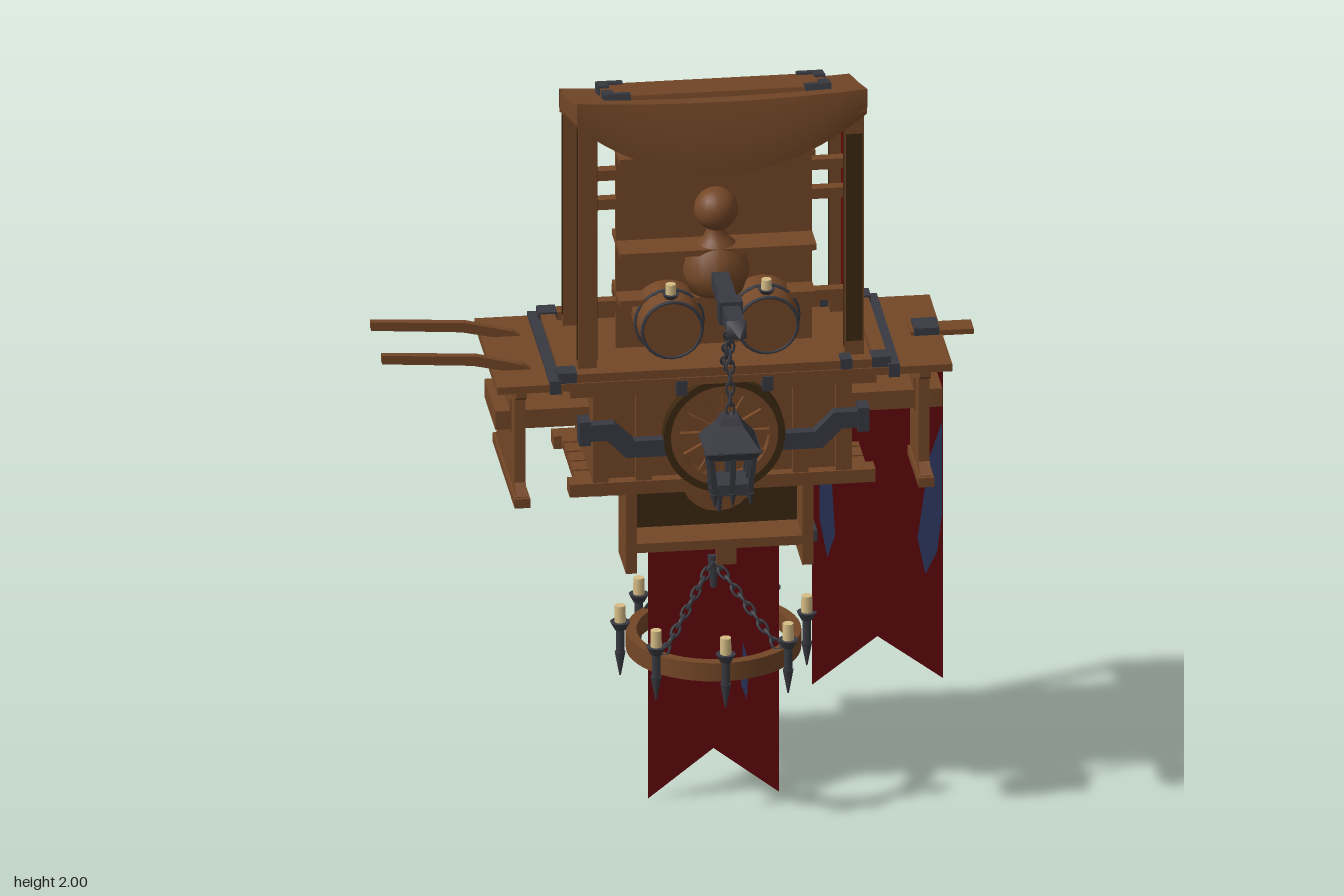
import * as THREE from 'three';
import { toCreasedNormals } from 'three/addons/utils/BufferGeometryUtils.js';

const mat = (name, color) => {
  const m = new THREE.MeshStandardMaterial({ color, side: THREE.DoubleSide });
  m.name = name;
  return m;
};

export function createModel() {
  const wood = mat('wood', 0x744727), dark = mat('darkWood', 0x3d2810), iron = mat('iron', 0x393a41);
  const red = mat('redCloth', 0x63060a), blue = mat('blueCloth', 0x2f3c66), wax = mat('wax', 0xd6bd85);
  const root = new THREE.Group();
  root.name = 'marketCart';
  const cart = new THREE.Group();
  cart.name = 'cart';
  cart.position.set(0.1, 0, -0.12); // the cart is symmetric about this axis
  root.add(cart);

  const add = (name, geo, m, x = 0, y = 0, z = 0, parent = cart) => {
    const o = new THREE.Mesh(geo, m);
    o.name = name;
    o.position.set(x, y, z);
    parent.add(o);
    return o;
  };
  // box from low and high corners
  const box = (name, m, x0, x1, y0, y1, z0, z1, parent = cart) =>
    add(name, new THREE.BoxGeometry(x1 - x0, y1 - y0, z1 - z0), m, (x0 + x1) / 2, (y0 + y1) / 2, (z0 + z1) / 2, parent);
  const cyl = (name, m, r0, r1, h, x, y, z, sides = 12, parent = cart) =>
    add(name, new THREE.CylinderGeometry(r0, r1, h, sides), m, x, y, z, parent);
  const shapeOf = pts => new THREE.Shape(pts.map(p => new THREE.Vector2(...p)));
  const extrude = (pts, depth) =>
    new THREE.ExtrudeGeometry(shapeOf(pts), { depth, bevelEnabled: false }).translate(0, 0, -depth / 2);
  const chain = (a, b) => {
    const from = new THREE.Vector3(...a), to = new THREE.Vector3(...b);
    const dir = to.clone().sub(from), n = Math.round(dir.length() / 0.028);
    const turn = new THREE.Quaternion().setFromUnitVectors(new THREE.Vector3(0, 1, 0), dir.clone().normalize());
    for (let i = 0; i < n; i++) {
      const g = new THREE.TorusGeometry(0.012, 0.004, 5, 10).scale(0.85, 1.5, 1).rotateY(i % 2 ? Math.PI / 2 : 0);
      const link = add('chainLink', g, iron);
      link.position.copy(from).addScaledVector(dir, (i + 0.5) / n);
      link.quaternion.copy(turn);
    }
  };

  // table top, bands and iron corners
  box('tableTop', wood, -0.58, 0.58, 1.232, 1.252, -0.222, 0.222);
  for (const s of [-1, 1]) {
    box('ironBand', iron, s * 0.432 - 0.014, s * 0.432 + 0.014, 1.226, 1.262, -0.226, 0.226);
    box('tableRail', wood, -0.42, 0.42, 1.25, 1.275, s * 0.2 - 0.018, s * 0.2 + 0.018);
    box('tableRailEnd', wood, s * 0.4 - 0.018, s * 0.4 + 0.018, 1.25, 1.275, -0.19, 0.19);
    box('railClamp', iron, 0.295, 0.325, 1.25, 1.28, s * 0.2 - 0.021, s * 0.2 + 0.021);
    for (const t of [-1, 1])
      box('railCorner', iron, s * 0.4 - 0.024, s * 0.4 + 0.024, 1.25, 1.28, t * 0.195 - 0.024, t * 0.195 + 0.024);
  }
  box('endBoard', wood, 0.5, 0.66, 1.248, 1.262, -0.03, 0.03);
  box('endClamp', iron, 0.508, 0.572, 1.2, 1.272, -0.034, 0.034);

  // wagon body with sills and uprights
  box('body', wood, -0.33, 0.33, 0.955, 1.21, -0.15, 0.15);
  for (const s of [-1, 1]) {
    box('bottomSill', wood, -0.39, 0.39, 0.92, 0.955, s * 0.155 - 0.025, s * 0.155 + 0.025);
    box('topSill', wood, -0.39, 0.39, 1.2, 1.235, s * 0.165 - 0.03, s * 0.165 + 0.03);
    for (const x of [-0.31, -0.2, 0.2, 0.31])
      box('upright', wood, x - 0.02, x + 0.02, 0.93, 1.22, s * 0.16 - 0.015, s * 0.16 + 0.015);
    // wrought spring arms beside each wheel
    for (const t of [-1, 1]) {
      const arm = [[0.36, 1.13], [0.28, 1.13], [0.23, 1.08], [0.13, 1.08], [0.13, 1.035], [0.25, 1.035], [0.3, 1.085], [0.36, 1.085]];
      add('springArm', extrude(arm.map(([x, y]) => [x * t, y]), 0.03), iron, 0, 0, s * 0.197);
      box('springClamp', iron, t * 0.355 - 0.015, t * 0.355 + 0.015, 1.075, 1.14, s * 0.19 - 0.025, s * 0.19 + 0.025);
      box('sillClamp', iron, t * 0.11 - 0.014, t * 0.11 + 0.014, 1.205, 1.245, s * 0.2 - 0.026, s * 0.2 + 0.026);
    }
  }
  for (const z of [-0.12, -0.06, 0, 0.06, 0.12]) box('floorPlank', wood, -0.37, 0.37, 0.93, 0.955, z - 0.026, z + 0.026);
  for (const x of [-0.31, -0.26, 0.26, 0.31]) box('floorStrap', iron, x - 0.016, x + 0.016, 0.915, 0.931, -0.17, 0.17);

  // wheels
  const ring = (r0, r1, d) => {
    const s = new THREE.Shape().absarc(0, 0, r1, 0, Math.PI * 2);
    s.holes.push(new THREE.Path().absarc(0, 0, r0, 0, Math.PI * 2, true));
    return toCreasedNormals(new THREE.ExtrudeGeometry(s, { depth: d, bevelEnabled: false, curveSegments: 24 }).translate(0, 0, -d / 2), 0.5);
  };
  for (const s of [-1, 1]) {
    const wheel = new THREE.Group();
    wheel.name = 'wheel';
    wheel.position.set(0, 1.085, s * 0.2);
    cart.add(wheel);
    add('tyre', ring(0.137, 0.155, 0.036), dark, 0, 0, 0, wheel);
    add('rim', ring(0.115, 0.137, 0.03), wood, 0, 0, 0, wheel);
    for (let i = 0; i < 12; i++) {
      const a = i * Math.PI / 6;
      add('spoke', new THREE.BoxGeometry(0.1, 0.013, 0.014), wood, 0.075 * Math.cos(a), 0.075 * Math.sin(a), 0, wheel).rotation.z = a;
    }
    cyl('hub', wood, 0.035, 0.035, 0.05, 0, 0, 0, 16, wheel).rotation.x = Math.PI / 2;
    cyl('hubCap', dark, 0.02, 0.02, 0.06, 0, 0, 0, 10, wheel).rotation.x = Math.PI / 2;
  }

  // end trestles with through beams
  const half = [[0.205, 0.913], [0.205, 0.94], [0.17, 0.965], [0.165, 1.19], [0.2, 1.21], [0.2, 1.235]];
  const outline = [...half, ...half.slice().reverse().map(([x, y]) => [-x, y])];
  for (const s of [-1, 1]) {
    add('trestle', extrude(outline, 0.028).rotateY(Math.PI / 2), wood, s * 0.515);
    box('trestleFoot', wood, s * 0.515 - 0.02, s * 0.515 + 0.02, 0.913, 0.938, -0.215, 0.215);
    box('beamPlate', wood, s * 0.515 - 0.018, s * 0.515 + 0.018, 1.08, 1.17, -0.108, 0.108);
    box('throughBeam', wood, Math.min(s * 0.28, s * 0.57), Math.max(s * 0.28, s * 0.57), 1.085, 1.135, -0.105, 0.105);
    // push handles
    const bar = [[-0.86, 1.31], [-0.62, 1.295], [-0.5, 1.265], [-0.4, 1.2], [-0.4, 1.175], [-0.51, 1.243], [-0.63, 1.27], [-0.86, 1.287]];
    add('handle', extrude(bar, 0.02), wood, 0, 0, s * 0.107);
  }

  // hanging shelf under the body
  for (const s of [-1, 1]) box('shelfSide', wood, s * 0.225 - 0.014, s * 0.225 + 0.014, 0.675, 0.93, -0.025, 0.12);
  box('shelfBoard', wood, -0.24, 0.24, 0.73, 0.755, 0.006, 0.118);
  box('shelfBack', dark, -0.215, 0.215, 0.75, 0.93, 0.006, 0.014);
  box('shelfPeg', iron, 0.235, 0.25, 0.735, 0.765, 0, 0.115);
  cyl('shelfKeg', wood, 0.095, 0.095, 0.08, 0, 0.92, 0.055, 20).rotation.x = Math.PI / 2;
  cyl('kegTap', iron, 0.014, 0.006, 0.09, 0, 0.875, 0.104, 8);

  // chandelier
  box('chandelierPost', wood, 0.005, 0.055, 0.645, 0.93, -0.03, 0.005);
  box('chandelierBlock', wood, 0.005, 0.055, 0.645, 0.73, 0.005, 0.025);
  cyl('chandelierHook', iron, 0.016, 0.008, 0.09, 0, 0.62, 0, 8);
  add('chandelierRing', ring(0.195, 0.222, 0.05).rotateX(Math.PI / 2), wood, 0, 0.435, 0);
  for (let i = 0; i < 8; i++) {
    const a = i * Math.PI / 4, x = Math.cos(a) * 0.238, z = Math.sin(a) * 0.238;
    cyl('candle', wax, 0.014, 0.015, 0.055, x, 0.51, z, 10);
    cyl('candleCup', iron, 0.026, 0.014, 0.022, x, 0.482, z, 10);
    cyl('candleStem', iron, 0.011, 0.011, 0.07, x, 0.44, z, 8);
    cyl('candleSpike', iron, 0.014, 0.002, 0.065, x, 0.378, z, 8);
    if (i % 2) chain([0, 0.65, 0], [x * 0.88, 0.46, z * 0.88]);
  }

  // hanging banners with swallow tails and blue patches on both faces
  const banner = (w, top, bottom, notch, slope = 0) =>
    new THREE.ShapeGeometry(shapeOf([[-w, top - slope], [-w, bottom], [0, notch], [w, bottom], [w, top + slope]]));
  add('lowerBanner', banner(0.167, 0.92, 0, 0.13), red);
  add('sideBanner', banner(0.167, 1.21, 0.29, 0.415), red, 0.418);
  for (const s of [-1, 1]) {
    add('stallBanner', banner(0.08, 1.925, 1.325, 1.38, -0.02).rotateY(Math.PI / 2), red, s * 0.335, 0, 0.01);
    const patch = pts => add('bluePatch', new THREE.ShapeGeometry(shapeOf(pts)), blue, 0, 0, s * 0.002);
    patch([[0.583, 1.0], [0.55, 0.9], [0.52, 0.68], [0.54, 0.58], [0.57, 0.64], [0.583, 0.75]]);
    patch([[0.27, 0.92], [0.3, 0.88], [0.31, 0.7], [0.29, 0.64], [0.27, 0.75]]);
    patch([[0.075, 0.42], [0.09, 0.36], [0.085, 0.26], [0.07, 0.3]]);
  }

  // stall posts with dark grooves, back wall and shelves
  for (const s of [-1, 1]) {
    box('frontPost', wood, s * 0.34 - 0.024, s * 0.34 + 0.024, 1.25, 1.96, 0.115, 0.15);
    box('backPost', wood, s * 0.34 - 0.024, s * 0.34 + 0.024, 1.25, 1.88, -0.175, -0.145);
    box('frontPostGroove', dark, s * 0.34 - 0.026, s * 0.34 + 0.026, 1.28, 1.93, 0.126, 0.14);
    box('backPostGroove', dark, s * 0.34 - 0.026, s * 0.34 + 0.026, 1.28, 1.83, -0.166, -0.154);
    for (const y of [1.37, 1.65, 1.73, 1.88]) box('brace', wood, s * 0.29 - 0.042, s * 0.29 + 0.042, y - 0.014, y + 0.014, -0.015, 0.015);
  }
  box('postInlay', dark, 0.318, 0.36, 1.3, 1.87, 0.148, 0.153);
  box('stallWall', wood, -0.25, 0.25, 1.25, 1.92, -0.012, 0.012);
  for (const [y, z] of [[1.4, 0.075], [1.54, 0.1], [1.79, 0.075]]) box('stallShelf', wood, -0.25, 0.25, y - 0.008, y + 0.008, -0.065, z);
  box('backLedge', wood, -0.24, 0.24, 1.335, 1.36, -0.15, -0.12);

  // barrels with candles
  const stave = [[0, -0.13], [0.074, -0.13], [0.087, -0.06], [0.09, 0], [0.087, 0.06], [0.074, 0.13], [0, 0.13]];
  for (const s of [-1, 1]) {
    const g = toCreasedNormals(new THREE.LatheGeometry(stave.map(p => new THREE.Vector2(...p)), 20).rotateX(Math.PI / 2), 0.6);
    add('barrel', g, wood, s * 0.122, 1.345, 0);
    for (const z of [-0.128, -0.07, 0.07, 0.128]) add('barrelHoop', new THREE.TorusGeometry(Math.abs(z) > 0.1 ? 0.076 : 0.086, 0.005, 6, 24), iron, s * 0.122, 1.345, z);
    for (const z of [-0.1, 0.1]) {
      cyl('barrelCandle', wax, 0.013, 0.014, 0.03, s * 0.122, 1.445, z, 10);
      cyl('barrelCandleCup', iron, 0.022, 0.014, 0.012, s * 0.122, 1.427, z, 10);
    }
  }
  // round flask with ball stopper
  const flask = [[0, 1.42], [0.08, 1.42], [0.1, 1.47], [0.085, 1.53], [0.04, 1.56], [0.025, 1.59], [0.035, 1.6]];
  add('flask', new THREE.LatheGeometry(flask.map(([r, y]) => new THREE.Vector2(r * 0.85, y)), 20), wood, 0, 0, 0.05);
  add('flaskBall', new THREE.SphereGeometry(0.056, 20, 14), wood, 0, 1.64, 0.05);

  // cloth roof: sagging front flap, sloping top, back flap
  const rows = 6, cols = 20, cloth = new THREE.PlaneGeometry(1, 1, cols, rows);
  const p = cloth.attributes.position;
  for (let j = 0; j <= rows; j++) for (let i = 0; i <= cols; i++) {
    const u = i / cols * 2 - 1, sag = 1 - u * u;
    const section = [
      [0.165 + 0.02 * sag, 1.93 - 0.14 * sag], [0.172 + 0.018 * sag, 1.965 - 0.08 * sag], [0.17, 2 - 0.015 * sag],
      [0, 1.945 - 0.006 * sag], [-0.178, 1.892 - 0.01 * sag], [-0.18 - 0.014 * sag, 1.86 - 0.06 * sag], [-0.175 - 0.015 * sag, 1.83 - 0.12 * sag]];
    p.setXYZ(j * (cols + 1) + i, u * 0.37, section[j][1], section[j][0]);
  }
  add('roofCloth', toCreasedNormals(cloth.toNonIndexed(), 0.7), wood);
  const edge = [[-0.17, 1.99], [0.178, 1.884], [0.178, 1.835], [-0.17, 1.935]];
  for (const s of [-1, 1]) add('roofEdge', extrude(edge, 0.03).rotateY(Math.PI / 2), wood, s * 0.353);

  // lid on the roof with iron corners
  const lid = new THREE.Group();
  lid.name = 'roofLid';
  lid.position.set(0, 1.947, -0.002);
  lid.rotation.x = -0.22;
  cart.add(lid);
  box('lidBoard', wood, -0.285, 0.285, -0.02, 0.01, -0.088, 0.088, lid);
  for (const s of [-1, 1]) for (const t of [-1, 1]) {
    box('lidCornerLong', iron, s * 0.256 - 0.034, s * 0.256 + 0.034, -0.02, 0.017, t * 0.08 - 0.012, t * 0.08 + 0.012, lid);
    box('lidCornerShort', iron, s * 0.276 - 0.014, s * 0.276 + 0.014, -0.02, 0.017, t * 0.06 - 0.032, t * 0.06 + 0.032, lid);
  }

  // iron arm with a spear tip
  box('lampArm', iron, -0.022, 0.022, 1.458, 1.498, 0.01, 0.45);
  add('armTip', new THREE.ConeGeometry(0.036, 0.06, 4).rotateY(Math.PI / 4).rotateX(Math.PI / 2), iron, 0, 1.477, 0.48);
  box('armClamp', iron, -0.03, 0.03, 1.446, 1.508, 0.298, 0.345);
  chain([0, 1.45, 0.325], [0, 1.19, 0.325]);
  chain([0, 1.45, 0.315], [0, 1.26, 0.2]);

  // hanging lantern, tapering to the base
  const lamp = new THREE.Group();
  lamp.name = 'lantern';
  lamp.position.set(0, 0, 0.325);
  cart.add(lamp);
  const frustum = (name, r0, r1, h, y) =>
    add(name, new THREE.CylinderGeometry(r0 * Math.SQRT2, r1 * Math.SQRT2, h, 4).rotateY(Math.PI / 4).toNonIndexed(), iron, 0, y, 0, lamp).geometry.computeVertexNormals();
  frustum('lanternCap', 0.02, 0.03, 0.02, 1.18);
  frustum('lanternRoof', 0.028, 0.072, 0.06, 1.14);
  frustum('lanternEave', 0.072, 0.058, 0.025, 1.1);
  frustum('lanternBase', 0.046, 0.046, 0.03, 1.0);
  for (const s of [-1, 0, 1]) for (const t of [-1, 0, 1]) {
    if (!s && !t) continue;
    const bar = box('lanternBar', iron, s * 0.049 - 0.007, s * 0.049 + 0.007, 0.985, 1.1, t * 0.049 - 0.007, t * 0.049 + 0.007, lamp);
    bar.rotation.set(t * 0.1, 0, -s * 0.1);
    cyl('lanternSpike', iron, 0.01, 0.002, 0.035, s * 0.046, 0.975, t * 0.046, 6, lamp);
  }
  return root;
}
